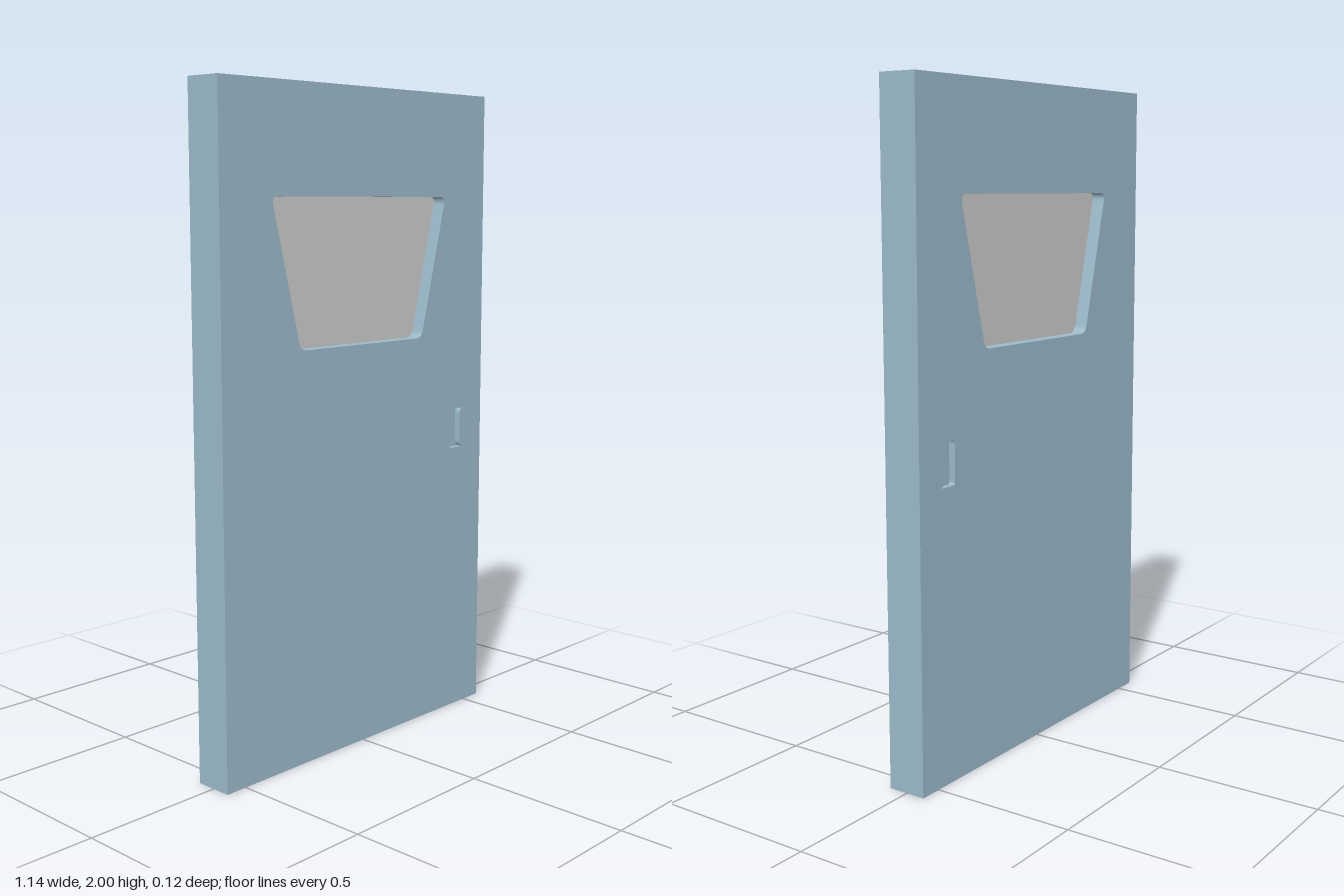
import * as THREE from 'three';

const W = 0.57, H = 2, T = 0.06; // half width, height, half thickness

// Closed outline with every corner cut by a curve
function rounded(PathType, pts, cut) {
  const path = new PathType();
  const v = pts.map(([x, y]) => new THREE.Vector2(x, y));
  v.forEach((p, i) => {
    const toward = (q) => p.clone().add(q.clone().sub(p).setLength(cut));
    const a = toward(v[(i + v.length - 1) % v.length]);
    const b = toward(v[(i + 1) % v.length]);
    if (i === 0) path.moveTo(a.x, a.y); else path.lineTo(a.x, a.y);
    path.quadraticCurveTo(p.x, p.y, b.x, b.y);
  });
  path.closePath();
  return path;
}

// Pull recess: rounded on the left, corners flaring outward on the right
function handleOutline(PathType) {
  const l = 0.412, r = 0.463, tip = 0.476, b = 0.875, t = 1.003, c = 0.01;
  const path = new PathType();
  path.moveTo(l + c, b);
  path.lineTo(tip, b);
  path.quadraticCurveTo(r, b + 0.004, r, b + 0.02);
  path.lineTo(r, t - 0.02);
  path.quadraticCurveTo(r, t - 0.004, tip, t);
  path.lineTo(l + c, t);
  path.quadraticCurveTo(l, t, l, t - c);
  path.lineTo(l, b + c);
  path.quadraticCurveTo(l, b, l + c, b);
  return path;
}

// Extrusion centred on z = 0
function slab(shape, halfDepth) {
  const g = new THREE.ExtrudeGeometry(shape, { depth: halfDepth * 2, bevelEnabled: false, curveSegments: 6 });
  return g.translate(0, 0, -halfDepth);
}

export function createModel() {
  const paint = new THREE.MeshStandardMaterial({ color: 0x9ab8c8 });
  paint.name = 'bluePaint';
  const glass = new THREE.MeshStandardMaterial({ color: 0xc9c9c9 });
  glass.name = 'greyGlass';

  const door = new THREE.Group();
  door.name = 'door';
  const add = (name, geometry, material) => {
    const mesh = new THREE.Mesh(geometry, material);
    mesh.name = name;
    door.add(mesh);
  };

  const windowPts = [[-0.267, 1.245], [0.267, 1.245], [0.377, 1.682], [-0.377, 1.682]];

  // Door slab with window and handle openings
  const panel = new THREE.Shape([[-W, 0], [W, 0], [W, H], [-W, H]].map(([x, y]) => new THREE.Vector2(x, y)));
  panel.holes.push(rounded(THREE.Path, windowPts, 0.025), handleOutline(THREE.Path));
  add('doorPanel', slab(panel, T), paint);

  // Pane set back from both faces
  add('windowPane', slab(rounded(THREE.Shape, windowPts, 0.025), 0.018), glass);

  // Floor of the pull recess on each face
  add('handleRecess', slab(handleOutline(THREE.Shape), 0.04), paint);

  return door;
}
